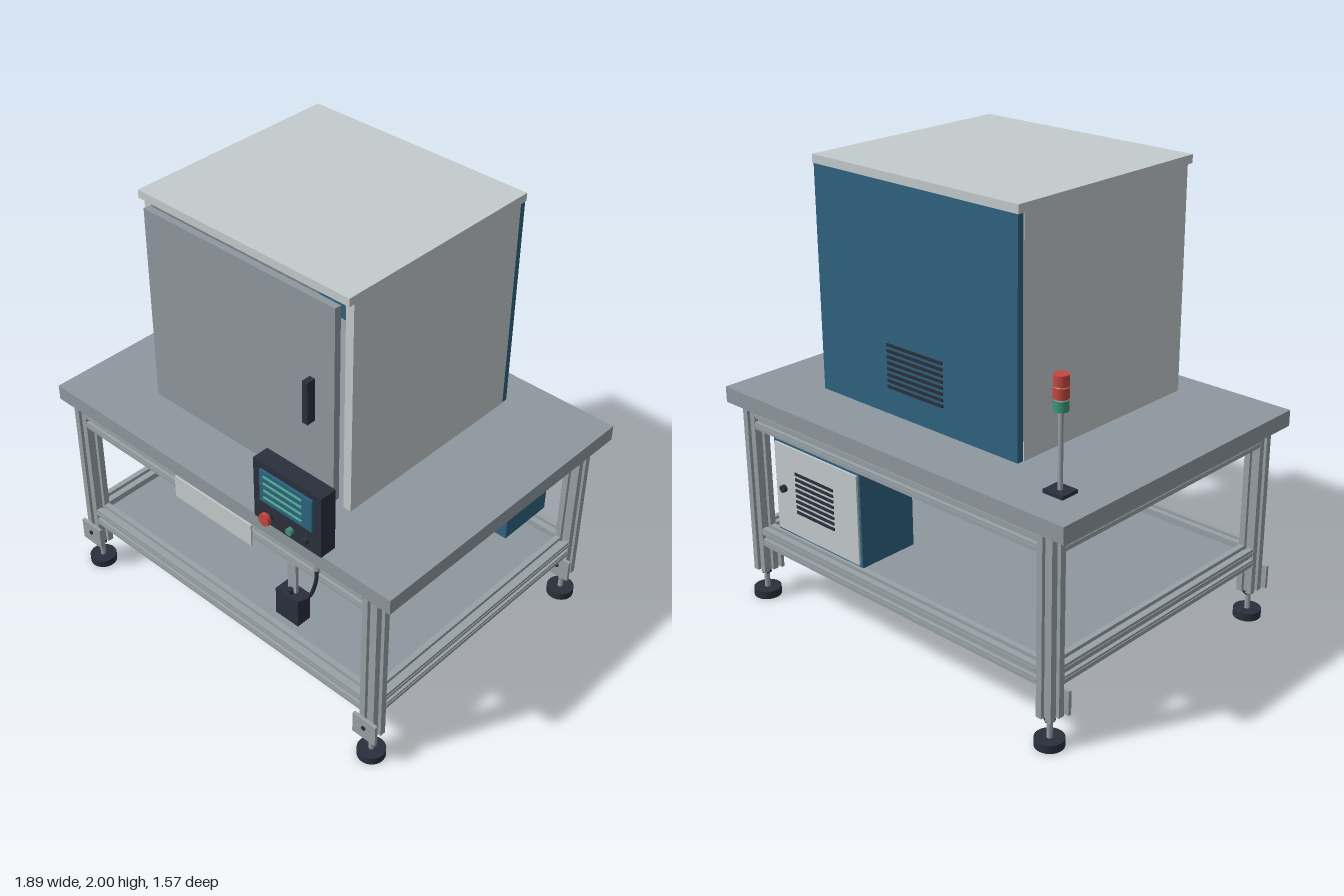
import * as THREE from 'three';

const mat = (name, color) => {
  const m = new THREE.MeshStandardMaterial({ color });
  m.name = name;
  return m;
};

export function createModel() {
  const root = new THREE.Group();
  root.name = 'machineOnWorkbench';

  const steel = mat('steelGrey', 0x8e989f);
  const alu = mat('aluminium', 0x98a1a6);
  const light = mat('lightGrey', 0xc4cbcc);
  const blue = mat('panelBlue', 0x2f6380);
  const dark = mat('darkPlastic', 0x2a303c);
  const red = mat('signalRed', 0xc4473f);
  const green = mat('signalGreen', 0x3f9478);
  const screenBlue = mat('screenBlue', 0x2c6580);
  const lineGreen = mat('lineGreen', 0x58b090);

  const add = (name, geo, m, x = 0, y = 0, z = 0) => {
    const mesh = new THREE.Mesh(geo, m);
    mesh.name = name;
    mesh.position.set(x, y, z);
    root.add(mesh);
    return mesh;
  };
  // Box given by its lower and upper limits
  const box = (name, m, x0, x1, y0, y1, z0, z1) =>
    add(name, new THREE.BoxGeometry(x1 - x0, y1 - y0, z1 - z0), m,
      (x0 + x1) / 2, (y0 + y1) / 2, (z0 + z1) / 2);
  // Upright cylinder between two heights
  const cyl = (name, m, r, x, z, y0, y1, seg = 24) =>
    add(name, new THREE.CylinderGeometry(r, r, y1 - y0, seg), m, x, (y0 + y1) / 2, z);
  // Round button with its axis along z
  const button = (name, m, r, x, y, z0, z1) => {
    const b = add(name, new THREE.CylinderGeometry(r, r, z1 - z0, 20), m, x, y, (z0 + z1) / 2);
    b.rotation.x = Math.PI / 2;
    return b;
  };

  // Slotted extrusion profile, w by h, with a groove in each side
  const slotted = (w, h, length) => {
    const a = w / 2, b = h / 2, s = 0.01, d = 0.016;
    const pts = [
      [-a, -b], [-s, -b], [-s, -b + d], [s, -b + d], [s, -b], [a, -b],
      [a, -s], [a - d, -s], [a - d, s], [a, s], [a, b],
      [s, b], [s, b - d], [-s, b - d], [-s, b], [-a, b],
      [-a, s], [-a + d, s], [-a + d, -s], [-a, -s],
    ].map(([x, y]) => new THREE.Vector2(x, y));
    const g = new THREE.ExtrudeGeometry(new THREE.Shape(pts), { depth: length, bevelEnabled: false });
    return g.translate(0, 0, -length / 2);
  };

  const LX = 0.833, ZF = 0.563, ZB = -0.72, ZM = (ZF + ZB) / 2;

  // Table top and lower shelf
  box('tableTop', steel, -0.943, 0.943, 0.905, 0.975, -0.783, 0.615);
  box('lowerShelf', steel, -0.81, 0.81, 0.295, 0.315, -0.7, 0.54);

  // Legs with foot plates and levelling feet
  for (const x of [-LX, LX]) {
    for (const z of [ZF, ZB]) {
      const leg = add('leg', slotted(0.074, 0.074, 0.78), alu, x, 0.515, z);
      leg.rotation.x = Math.PI / 2;
      box('footPlate', alu, x - 0.06, x + 0.06, 0.135, 0.24, z + 0.037, z + 0.052);
      button('footPlateBolt', dark, 0.01, x, 0.197, z + 0.052, z + 0.058);
      cyl('footStem', alu, 0.012, x, z, 0.035, 0.13, 16);
      cyl('footNut', dark, 0.023, x, z, 0.108, 0.12, 6);
      cyl('footPad', dark, 0.06, x, z, 0, 0.035, 32);
    }
  }

  // Upper and lower frame rails
  for (const y of [0.855, 0.303]) {
    for (const z of [ZF, ZB]) {
      const r = add('longRail', slotted(0.07, 0.082, 2 * LX - 0.074), alu, 0, y, z);
      r.rotation.y = Math.PI / 2;
    }
    for (const x of [-LX, LX])
      add('sideRail', slotted(0.07, 0.082, ZF - ZB - 0.074), alu, x, y, ZM);
    // Narrow ribs beside the rail grooves
    for (const dy of [-0.024, 0.024]) {
      for (const z of [ZF + 0.036, ZB - 0.036])
        box('railRib', alu, -0.796, 0.796, y + dy - 0.004, y + dy + 0.004, z - 0.002, z + 0.002);
      for (const x of [-LX - 0.036, LX + 0.036])
        box('railRib', alu, x - 0.002, x + 0.002, y + dy - 0.004, y + dy + 0.004, ZB + 0.037, ZF - 0.037);
    }
  }

  // Cabinet: hollow shell with roof, back panel and door
  for (const s of [-1, 1])
    box('cabinetSide', light, s > 0 ? 0.505 : -0.543, s > 0 ? 0.543 : -0.505, 1.017, 1.965, -0.548, 0.39);
  box('cabinetBack', blue, -0.54, 0.54, 1.017, 1.965, -0.578, -0.548);
  box('cabinetRoof', light, -0.547, 0.543, 1.965, 2.0, -0.582, 0.415);
  box('door', steel, -0.513, 0.483, 1.05, 1.935, 0.392, 0.422);
  box('doorHandle', dark, 0.36, 0.387, 1.393, 1.585, 0.422, 0.463);
  for (let i = 0; i < 8; i++) {
    const y = 1.135 + i * 0.025;
    box('backVentSlot', dark, -0.155, 0.15, y - 0.006, y + 0.006, -0.584, -0.578);
  }

  // Blue control box under the table with a louvred rear door
  box('controlBox', blue, 0.15, 0.68, 0.39, 0.812, -0.75, -0.47);
  box('controlBoxDoor', light, 0.162, 0.668, 0.402, 0.8, -0.759, -0.75);
  for (let i = 0; i < 8; i++) {
    const y = 0.515 + i * 0.025;
    box('controlVentSlot', dark, 0.305, 0.54, y - 0.006, y + 0.006, -0.764, -0.759);
  }
  button('controlBoxLock', dark, 0.016, 0.615, 0.6, -0.776, -0.759);

  // Operator panel: housing, display and buttons
  box('panelHousing', dark, 0.395, 0.73, 1.145, 1.42, 0.68, 0.753);
  box('panelScreen', screenBlue, 0.433, 0.692, 1.248, 1.392, 0.753, 0.762);
  for (const y of [1.37, 1.338, 1.306, 1.274])
    box('screenLine', lineGreen, 0.455, 0.645, y - 0.004, y + 0.004, 0.762, 0.766);
  button('stopCollar', dark, 0.018, 0.472, 1.185, 0.753, 0.768);
  button('stopButton', red, 0.026, 0.472, 1.185, 0.768, 0.785);
  button('startButton', green, 0.015, 0.582, 1.185, 0.753, 0.77);
  button('auxButton', dark, 0.014, 0.657, 1.185, 0.753, 0.77);

  // Panel post, cable and junction box
  cyl('panelPost', alu, 0.02, 0.563, 0.594, 0.87, 1.22);
  const path = new THREE.CatmullRomCurve3([
    [0.574, 0.88, 0.61], [0.57, 0.82, 0.612], [0.54, 0.73, 0.61], [0.49, 0.665, 0.605], [0.45, 0.64, 0.6],
  ].map((p) => new THREE.Vector3(...p)));
  add('cable', new THREE.TubeGeometry(path, 24, 0.008, 10), dark);
  box('junctionBracket', alu, 0.408, 0.452, 0.66, 0.815, 0.585, 0.6);
  box('junctionBox', dark, 0.37, 0.49, 0.535, 0.667, 0.56, 0.63);
  cyl('cableGland', dark, 0.013, 0.432, 0.61, 0.667, 0.69, 12);

  // Blank plate on the front rail
  box('frontPlate', light, -0.222, 0.217, 0.778, 0.885, 0.601, 0.609);

  // Signal tower
  const tx = -0.758, tz = -0.59;
  box('towerBase', dark, tx - 0.048, tx + 0.048, 0.975, 0.99, tz - 0.042, tz + 0.042);
  cyl('towerPole', alu, 0.01, tx, tz, 0.99, 1.3, 16);
  cyl('towerCore', light, 0.026, tx, tz, 1.3, 1.43);
  cyl('towerGreen', green, 0.03, tx, tz, 1.298, 1.34);
  cyl('towerRedMiddle', red, 0.03, tx, tz, 1.345, 1.388);
  cyl('towerRedTop', red, 0.03, tx, tz, 1.393, 1.436);

  return root;
}
